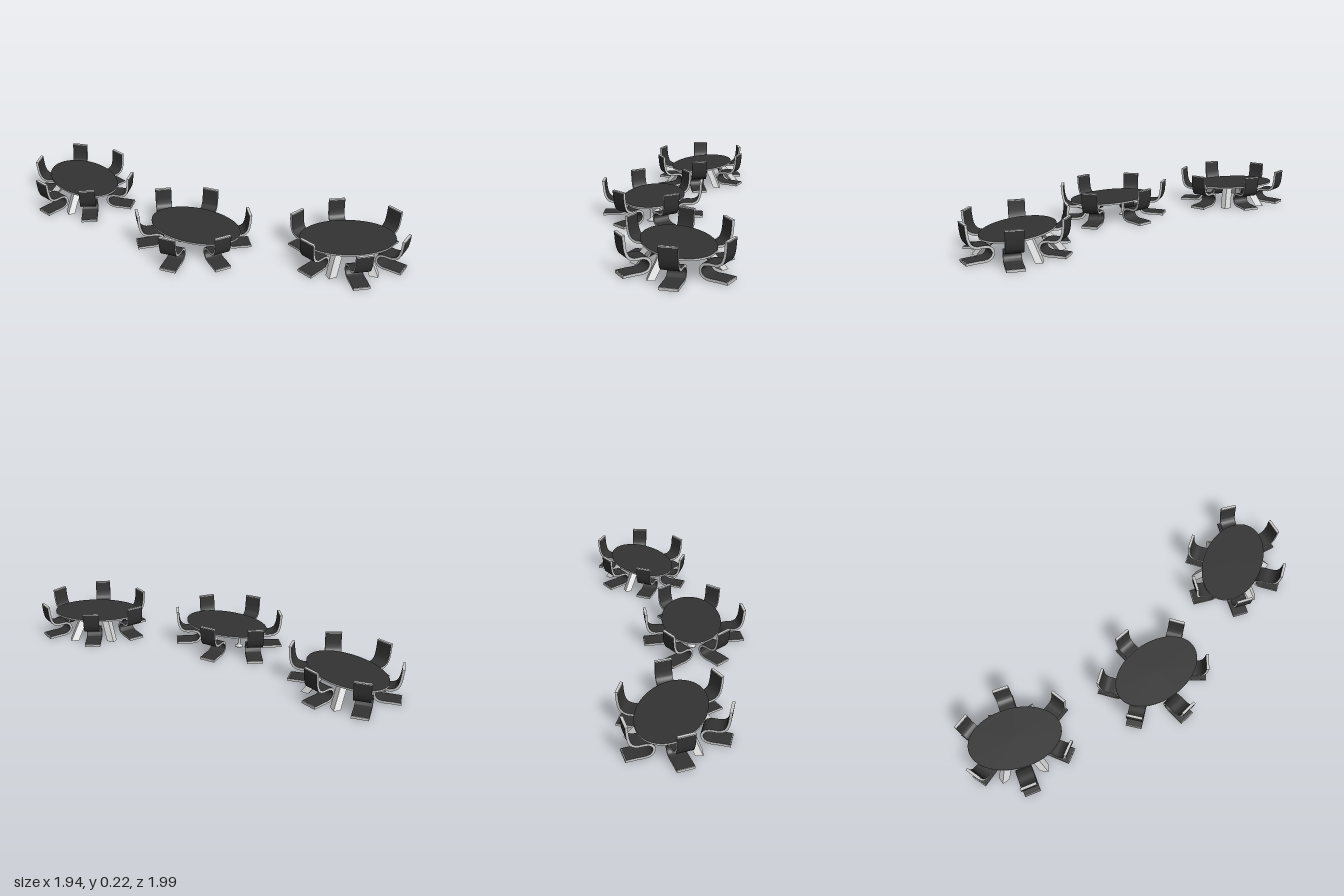
import * as THREE from 'three';
import { toCreasedNormals } from 'three/addons/utils/BufferGeometryUtils.js';

const dark = new THREE.MeshStandardMaterial({ color: 0x333333 });
const grey = new THREE.MeshStandardMaterial({ color: 0xcccccc });
const rad = THREE.MathUtils.degToRad;

function add(parent, name, geometry, material) {
  const mesh = new THREE.Mesh(geometry, material);
  mesh.name = name;
  parent.add(mesh);
  return mesh;
}

// One S-shaped ribbon: back, seat, rolled front edge and foot (+x is the rear)
const CHAIR_WIDTH = 0.1;
const SLAB = 0.015;

function ribbonGeometry() {
  const line = [
    [-0.009, 0.222], [-0.012, 0.18], [-0.018, 0.14], [-0.032, 0.108], [-0.06, 0.092],
    [-0.115, 0.09], [-0.142, 0.08], [-0.156, 0.051], [-0.142, 0.022], [-0.115, 0.011],
    [-0.06, 0.01], [-0.004, 0.008],
  ].map(([x, y]) => new THREE.Vector3(x, y, 0));
  const curve = new THREE.CatmullRomCurve3(line);
  const front = [], rear = [];
  const steps = 40;
  for (let i = 0; i <= steps; i++) {
    const p = curve.getPointAt(i / steps);
    const t = curve.getTangentAt(i / steps).multiplyScalar(SLAB / 2);
    front.push(new THREE.Vector2(p.x - t.y, Math.max(0, p.y + t.x)));
    rear.push(new THREE.Vector2(p.x + t.y, Math.max(0, p.y - t.x)));
  }
  const shape = new THREE.Shape([...front, ...rear.reverse()]);
  const geometry = new THREE.ExtrudeGeometry(shape, { depth: CHAIR_WIDTH, bevelEnabled: false });
  geometry.translate(0, 0, -CHAIR_WIDTH / 2);
  return toCreasedNormals(geometry, rad(35));
}

const ribbon = ribbonGeometry();
const edgeBox = new THREE.BoxGeometry(SLAB + 0.002, 0.005, CHAIR_WIDTH);

function createChair() {
  const chair = new THREE.Group();
  chair.name = 'chair';
  add(chair, 'chairShell', ribbon, [grey, dark]);
  add(chair, 'backTopEdge', edgeBox, grey).position.set(-0.009, 0.2225, 0);
  add(chair, 'footEdge', new THREE.BoxGeometry(0.004, 0.015, CHAIR_WIDTH), grey)
    .position.set(-0.002, 0.0075, 0);
  return chair;
}

// Seats round a table: x, z of the rear edge and outward angle in degrees
const SEATS = [
  [-0.288, -0.166, -127], [-0.016, -0.302, -95], [0.32, -0.163, -37],
  [0.304, 0.169, 37], [0.023, 0.331, 83], [-0.278, 0.174, 140],
];

// Slanted block leg: a box sheared from its foot towards the table centre
function addBlockLegs(table) {
  for (const sx of [-1, 1]) for (const sz of [-1, 1]) {
    const geometry = new THREE.BoxGeometry(0.05, 0.128, 0.042);
    geometry.rotateY(-sx * sz * 0.35);
    geometry.translate(0, 0.064, 0);
    const pos = geometry.attributes.position;
    for (let i = 0; i < pos.count; i++) {
      const k = pos.getY(i) / 0.128;
      pos.setX(i, pos.getX(i) + sx * (0.125 - 0.05 * k));
      pos.setZ(i, pos.getZ(i) + sz * (0.195 - 0.095 * k));
    }
    geometry.computeVertexNormals();
    add(table, 'blockLeg', geometry, grey);
  }
}

// Two trumpet pedestals flaring into the underside of the top
function addPedestals(table) {
  const profile = [
    [0, 0], [0.027, 0], [0.027, 0.004], [0.014, 0.01], [0.009, 0.02], [0.009, 0.05],
    [0.012, 0.08], [0.021, 0.104], [0.038, 0.119], [0.07, 0.128],
  ].map(([r, y]) => new THREE.Vector2(r, y));
  for (const sx of [-1, 1]) {
    const geometry = new THREE.LatheGeometry(profile, 32);
    add(table, 'pedestal', geometry, grey).position.x = sx * 0.1;
  }
}

function createSet(name, x, z, angle, addBase, chairShift) {
  const set = new THREE.Group();
  set.name = name;
  set.position.set(x, 0, z);
  set.rotation.y = -rad(angle);

  // Oval top with a light rim
  const top = new THREE.CylinderGeometry(1, 1, 0.011, 64);
  top.scale(0.286, 1, 0.187);
  add(set, 'tableTop', top, [grey, dark, dark]).position.y = 0.133;
  addBase(set);

  for (const [sx, sz, facing] of SEATS) {
    const chair = createChair();
    chair.position.set(sx + chairShift, 0, sz);
    chair.rotation.y = -rad(facing);
    set.add(chair);
  }
  return set;
}

export function createModel() {
  const model = new THREE.Group();
  model.name = 'diningSets';
  model.add(
    createSet('rearTableSet', -0.645, -0.645, 72, addBlockLegs, 0),
    createSet('middleTableSet', -0.177, 0.19, 50, addPedestals, -0.032),
    createSet('frontTableSet', 0.6, 0.66, 20, addBlockLegs, 0),
  );
  return model;
}
